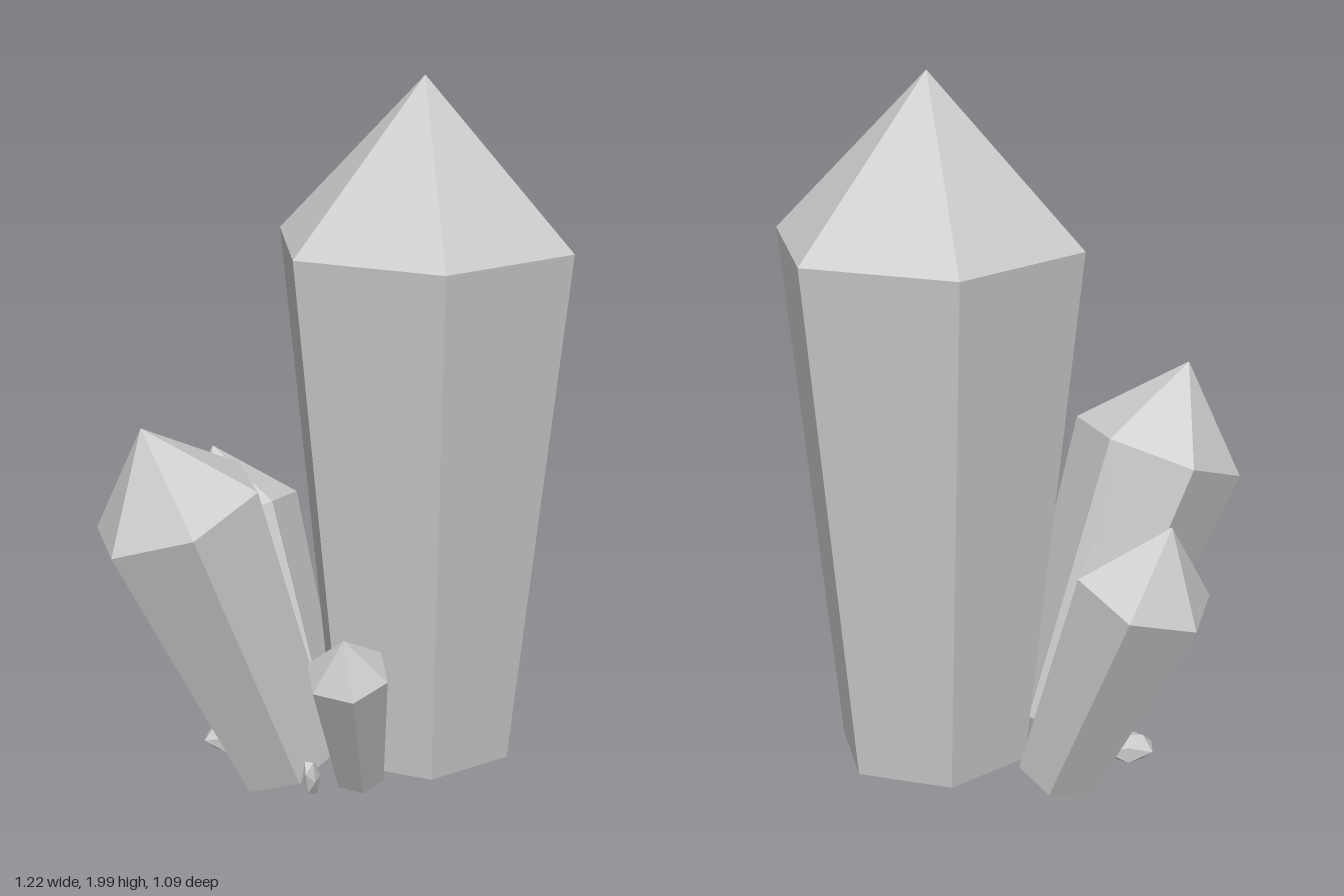
import * as THREE from 'three';

const material = new THREE.MeshStandardMaterial({ color: 0xcccccc, flatShading: true });

// Unit crystal: tapered six-sided shaft with a pointed cap, base at the origin, length 1
const profile = [[0, 0], [0.1406, 0], [0.225, 0.7656], [0, 1]];
const crystalGeometry = new THREE.LatheGeometry(profile.map(p => new THREE.Vector2(...p)), 6);

// Stand a crystal from base centre to apex; corner is the direction of one shaft edge
function crystal(name, base, apex, corner) {
  const from = new THREE.Vector3(...base);
  const axis = new THREE.Vector3(...apex).sub(from);
  const length = axis.length();
  axis.normalize();
  const z = new THREE.Vector3(...corner).projectOnPlane(axis).normalize();
  const x = new THREE.Vector3().crossVectors(axis, z);
  const mesh = new THREE.Mesh(crystalGeometry, material);
  mesh.name = name;
  mesh.quaternion.setFromRotationMatrix(new THREE.Matrix4().makeBasis(x, axis, z));
  mesh.position.copy(from);
  mesh.scale.setScalar(length);
  return mesh;
}

// Small faceted chip
function chip(name, position, size, rotation) {
  const mesh = new THREE.Mesh(new THREE.IcosahedronGeometry(1, 0), material);
  mesh.name = name;
  mesh.position.set(...position);
  mesh.scale.set(...size);
  mesh.rotation.set(...rotation);
  return mesh;
}

export function createModel() {
  const group = new THREE.Group();
  group.name = 'crystalCluster';
  group.add(
    crystal('mainCrystal', [0.177, 0.08, -0.173], [0.177, 2, -0.173], [1, 0, 0]),
    crystal('frontRightCrystal', [-0.109, 0.083, 0.108], [-0.4, 1.1, 0.39], [0.237, 0.073, -0.024]),
    crystal('backRightCrystal', [-0.193, 0.058, -0.175], [-0.525, 0.855, -0.27], [-0.152, -0.05, 0.118]),
    crystal('smallFrontCrystal', [0.123, 0.09, 0.128], [0.165, 0.565, 0.33], [0.115, -0.008, -0.003]),
    chip('flatChip', [-0.342, 0.07, 0.005], [0.08, 0.042, 0.07], [0, 0.3, 0]),
    chip('tallChip', [0.025, 0.105, 0.235], [0.024, 0.062, 0.034], [0.25, 0, 0]),
  );
  return group;
}
